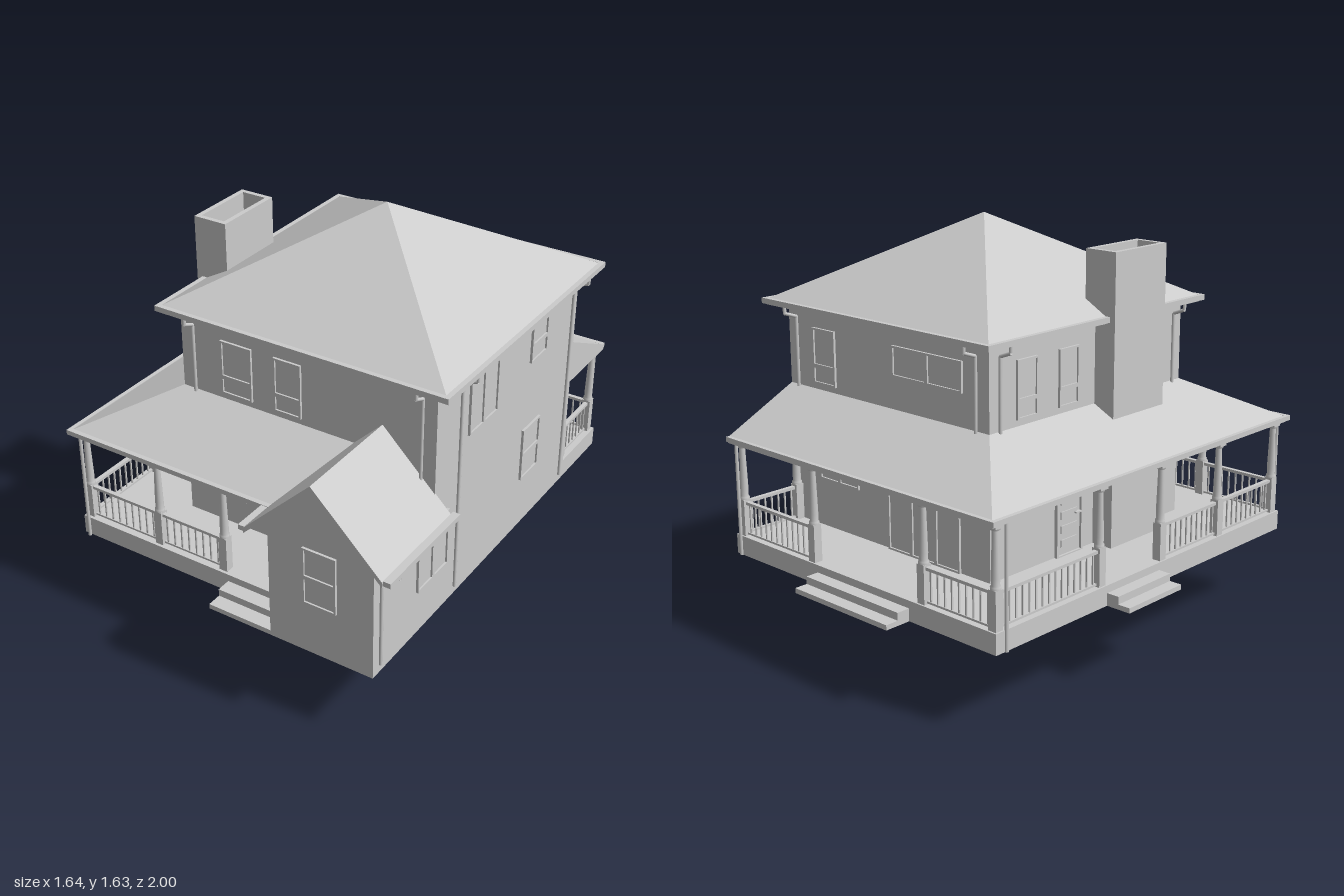
import * as THREE from 'three';

const mat = new THREE.MeshStandardMaterial({ color: 0xcccccc, side: THREE.DoubleSide, flatShading: true });
const smooth = new THREE.MeshStandardMaterial({ color: 0xcccccc });

export function createModel() {
  const root = new THREE.Group();
  root.name = 'house';

  const add = (name, geo, parent = root, m = mat) => {
    const mesh = new THREE.Mesh(geo, m);
    mesh.name = name;
    parent.add(mesh);
    return mesh;
  };
  // Box given by its limits on each axis
  const box = (name, x0, x1, y0, y1, z0, z1, parent = root) => {
    const b = add(name, new THREE.BoxGeometry(x1 - x0, y1 - y0, z1 - z0), parent);
    b.position.set((x0 + x1) / 2, (y0 + y1) / 2, (z0 + z1) / 2);
    return b;
  };
  const polygon = (pts) => new THREE.Shape(pts.map((p) => new THREE.Vector2(...p)));
  const rect = (x0, x1, y0, y1) => polygon([[x0, y0], [x1, y0], [x1, y1], [x0, y1]]);
  const extrude = (shape, depth) => new THREE.ExtrudeGeometry(shape, { depth, bevelEnabled: false });
  // Flat faces from corner loops of three or four points
  const faces = (name, list) => {
    const pos = [];
    for (const f of list)
      for (let i = 1; i < f.length - 1; i++) pos.push(...f[0], ...f[i], ...f[i + 1]);
    const g = new THREE.BufferGeometry();
    g.setAttribute('position', new THREE.Float32BufferAttribute(pos, 3));
    g.computeVertexNormals();
    return add(name, g);
  };

  // Foundation, floor and walls
  box('basement', -0.26, 0.36, 0, 0.3, -0.41, 0.21);
  box('porchFloor', -0.715, 0.72, 0.3, 0.38, -0.89, 0.82);
  box('mainWalls', -0.39, 0.72, 0.38, 1.275, -0.58, 0.535);
  const wing = polygon([[0.28, 0.3], [0.72, 0.3], [0.72, 0.83], [0.5, 1.045], [0.28, 0.83]]);
  add('frontWing', extrude(wing, 0.44)).position.z = 0.5;

  // Hipped main roof with its gutters
  const hip = add('mainRoof', new THREE.ConeGeometry(0.62 * Math.SQRT2, 0.345, 4, 1).rotateY(Math.PI / 4));
  hip.position.set(0.167, 1.4625, -0.027);
  box('mainSoffit', -0.445, 0.78, 1.27, 1.29, -0.64, 0.585);
  const gutterRing = rect(-0.46, 0.795, -0.6, 0.655);
  gutterRing.holes.push(rect(-0.44, 0.775, -0.58, 0.635));
  const gutter = add('mainGutter', extrude(gutterRing, 0.022).rotateX(-Math.PI / 2));
  gutter.position.y = 1.276;

  // Gabled wing roof, open below its overhang
  const gable = polygon([[0.215, 0.765], [0.5, 1.043], [0.785, 0.765], [0.785, 0.787], [0.5, 1.067], [0.215, 0.787]]);
  add('wingRoof', extrude(gable, 0.465)).position.z = 0.53;
  box('wingGutterInner', 0.19, 0.216, 0.77, 0.79, 0.81, 0.99);
  box('wingGutterOuter', 0.785, 0.815, 0.77, 0.79, 0.515, 0.99);

  // Wraparound porch roof
  const e = 0.787, t = 0.95;
  faces('porchRoof', [
    [[-0.72, e, 0.835], [0.215, e, 0.835], [0.385, t, 0.535], [-0.39, t, 0.535]],
    [[-0.72, e, -0.91], [-0.72, e, 0.835], [-0.39, t, 0.535], [-0.39, t, -0.58]],
    [[0.72, e, -0.91], [-0.72, e, -0.91], [-0.39, t, -0.58], [0.72, t, -0.58]],
    [[0.72, e, -0.58], [0.72, e, -0.91], [0.72, t, -0.58]],
  ]);
  box('porchCeilingLeftSide', -0.72, -0.38, 0.765, e, -0.91, 0.835);
  box('porchCeilingFront', -0.38, 0.28, 0.765, e, 0.52, 0.835);
  box('porchCeilingBack', -0.38, 0.72, 0.765, e, -0.91, -0.57);
  box('porchGutterFront', -0.73, 0.22, 0.772, 0.792, 0.83, 0.85);
  box('porchGutterSide', -0.732, -0.715, 0.772, 0.792, -0.918, 0.85);
  box('porchGutterBack', -0.73, 0.72, 0.772, 0.792, -0.918, -0.9);

  // Chimney with an open flue
  box('chimneyStack', -0.485, -0.34, 0.38, 1.42, 0, 0.305);
  const flue = rect(-0.485, -0.34, -0.305, 0);
  flue.holes.push(rect(-0.465, -0.36, -0.285, -0.02));
  add('chimneyTop', extrude(flue, 0.125).rotateX(-Math.PI / 2)).position.y = 1.42;

  // Steps, two treads on three sides
  [[0.32, 0.12], [0.35, 0.06]].forEach(([y, d]) => {
    box('frontStep', 0, 0.28, 0.3, y, 0.8, 0.82 + d);
    box('backStep', -0.285, 0.22, 0.3, y, -0.89 - d * 0.92, -0.87);
    box('sideStep', -0.715 - d * 0.88, -0.7, 0.3, y, -0.3, 0.01);
  });

  // Porch posts: square pedestal, tapered shaft, cap
  const post = (x, z) => {
    const g = new THREE.Group();
    g.name = 'porchPost';
    g.position.set(x, 0.38, z);
    root.add(g);
    box('postPedestal', -0.018, 0.018, 0, 0.15, -0.018, 0.018, g);
    const shaft = [[0.02, 0.15], [0.02, 0.16], [0.016, 0.165], [0.017, 0.19], [0.012, 0.36], [0.018, 0.365], [0.018, 0.375]];
    add('postShaft', new THREE.LatheGeometry(shaft.map((p) => new THREE.Vector2(...p)), 12), g, smooth);
    box('postCap', -0.021, 0.021, 0.372, 0.386, -0.021, 0.021, g);
  };
  const px = -0.69, fz = 0.79, bz = -0.865;
  [[px, fz], [-0.34, fz], [-0.03, fz], [px, 0.41], [px, 0.04], [px, -0.32],
    [px, bz], [-0.34, bz], [0.26, bz], [0.69, bz], [0.69, -0.6]].forEach((p) => post(...p));

  // Railings between posts
  const railing = (x0, z0, x1, z1) => {
    const g = new THREE.Group();
    g.name = 'railing';
    g.position.set(x0, 0, z0);
    g.rotation.y = -Math.atan2(z1 - z0, x1 - x0);
    root.add(g);
    const len = Math.hypot(x1 - x0, z1 - z0);
    box('topRail', 0, len, 0.51, 0.522, -0.009, 0.009, g);
    box('bottomRail', 0, len, 0.385, 0.393, -0.006, 0.006, g);
    const n = Math.round(len / 0.034);
    for (let i = 1; i < n; i++) {
      const x = (i * len) / n;
      box('baluster', x - 0.003, x + 0.003, 0.39, 0.512, -0.003, 0.003, g);
    }
  };
  railing(px, fz, -0.03, fz);
  railing(px, 0.04, px, fz);
  railing(px, bz, px, -0.32);
  railing(px, bz, -0.34, bz);
  railing(0.26, bz, 0.69, bz);
  railing(0.69, bz, 0.69, -0.6);

  // Openings sit on a wall: u runs along it, origin at the bottom centre
  const walls = {
    front: (u) => [u, 0.535, 0], wing: (u) => [u, 0.94, 0], right: (u) => [0.72, u, Math.PI / 2],
    back: (u) => [u, -0.58, Math.PI], left: (u) => [-0.39, u, -Math.PI / 2],
  };
  const mount = (name, wall, u, y) => {
    const g = new THREE.Group();
    const [x, z, r] = walls[wall](u);
    g.name = name;
    g.position.set(x, y, z);
    g.rotation.y = r;
    root.add(g);
    return g;
  };
  // Framed opening with panes in rows or columns, cut at the given fractions
  const glazing = (name, wall, u0, u1, y0, y1, columns, cuts) => {
    const g = mount(name, wall, (u0 + u1) / 2, y0);
    const w = Math.abs(u1 - u0), h = y1 - y0, b = 0.008;
    const frame = rect(-w / 2, w / 2, 0, h);
    const stops = [0, ...cuts, 1];
    for (let i = 0; i < stops.length - 1; i++) {
      const [a, c] = [stops[i], stops[i + 1]];
      const r = columns
        ? [-w / 2 + a * w + b, -w / 2 + c * w - b, b, h - b]
        : [-w / 2 + b, w / 2 - b, a * h + b, c * h - b];
      frame.holes.push(rect(...r));
      box('pane', ...r, -0.005, 0.003, g);
    }
    add('frame', extrude(frame, 0.01), g);
  };
  glazing('upperFrontWindow', 'front', -0.205, -0.065, 0.975, 1.2, false, [0.32]);
  glazing('upperFrontWindow', 'front', 0.035, 0.155, 0.975, 1.2, false, [0.32]);
  glazing('porchWindow', 'front', -0.245, -0.11, 0.5, 0.73, false, [0.47]);
  glazing('wingWindow', 'wing', 0.43, 0.57, 0.52, 0.76, false, [0.48]);
  glazing('upperSideWindow', 'right', 0.09, 0.305, 0.975, 1.2, true, [0.5]);
  glazing('upperSmallWindow', 'right', -0.31, -0.178, 1.045, 1.2, false, [0.46]);
  glazing('lowerSideWindow', 'right', -0.295, -0.15, 0.525, 0.755, false, [0.48]);
  glazing('wingSideWindow', 'right', 0.435, 0.65, 0.49, 0.735, true, [0.5]);
  glazing('upperBackWindow', 'back', 0.44, 0.57, 0.975, 1.2, false, [0.32]);
  glazing('wideBackWindow', 'back', -0.26, 0.11, 1.08, 1.2, true, [0.5]);
  glazing('kitchenWindow', 'back', 0.32, 0.55, 0.58, 0.74, true, [0.5]);
  glazing('patioDoor', 'back', -0.24, 0.15, 0.38, 0.74, true, [0.33, 0.67]);
  glazing('upperLeftWindow', 'left', -0.44, -0.33, 0.975, 1.2, false, [0.32]);
  glazing('upperLeftWindow', 'left', -0.21, -0.1, 0.975, 1.2, false, [0.32]);

  // Panelled doors
  const door = (name, wall, u) => {
    const g = mount(name, wall, u, 0.38);
    const surround = rect(-0.075, 0.075, 0, 0.38);
    surround.holes.push(rect(-0.065, 0.065, 0.005, 0.37));
    add('doorFrame', extrude(surround, 0.014), g);
    box('doorLeaf', -0.065, 0.065, 0.005, 0.37, -0.005, 0.004, g);
    for (let i = 0; i < 6; i++) {
      const y = 0.05 + i * 0.057;
      box('doorPanel', -0.046, 0.046, y - 0.015, y + 0.015, 0, 0.009, g);
    }
    box('doorHandle', 0.03, 0.06, 0.158, 0.164, 0.004, 0.02, g);
  };
  door('frontDoor', 'front', 0.16);
  door('sideDoor', 'left', -0.15);

  // Downspouts: straight pipes along a few points
  const spout = (...pts) => {
    const path = new THREE.CurvePath();
    const v = pts.map((p) => new THREE.Vector3(...p));
    for (let i = 0; i < v.length - 1; i++) {
      const d = v[i + 1].clone().sub(v[i]);
      const pipe = add('downspout', new THREE.CylinderGeometry(0.007, 0.007, d.length(), 8), root, smooth);
      pipe.position.copy(v[i]).addScaledVector(d, 0.5);
      pipe.quaternion.setFromUnitVectors(new THREE.Vector3(0, 1, 0), d.normalize());
    }
  };
  for (const [x, end] of [[-0.33, 0.945], [0.665, 0.9]])
    spout([x, 1.28, 0.59], [x, 1.25, 0.59], [x, 1.23, 0.543], [x, end, 0.543]);
  for (const z of [0.37, -0.53])
    spout([0.785, 1.28, z], [0.785, 1.25, z], [0.728, 1.23, z], [0.728, 0.34, z]);
  for (const x of [-0.33, 0.665])
    spout([x, 1.28, -0.645], [x, 1.25, -0.645], [x, 1.23, -0.588], [x, 0.945, -0.588]);
  for (const z of [0.48, -0.53])
    spout([-0.45, 1.28, z], [-0.45, 1.25, z], [-0.398, 1.23, z], [-0.398, 0.945, z]);
  spout([0.8, 0.78, 0.9], [0.8, 0.75, 0.9], [0.728, 0.73, 0.9], [0.728, 0.34, 0.9]);
  spout([-0.685, 0.78, 0.828], [-0.685, 0.3, 0.828]);
  spout([-0.718, 0.78, -0.84], [-0.718, 0.3, -0.84]);
  spout([0.69, 0.78, -0.893], [0.69, 0.3, -0.893]);

  return root;
}
